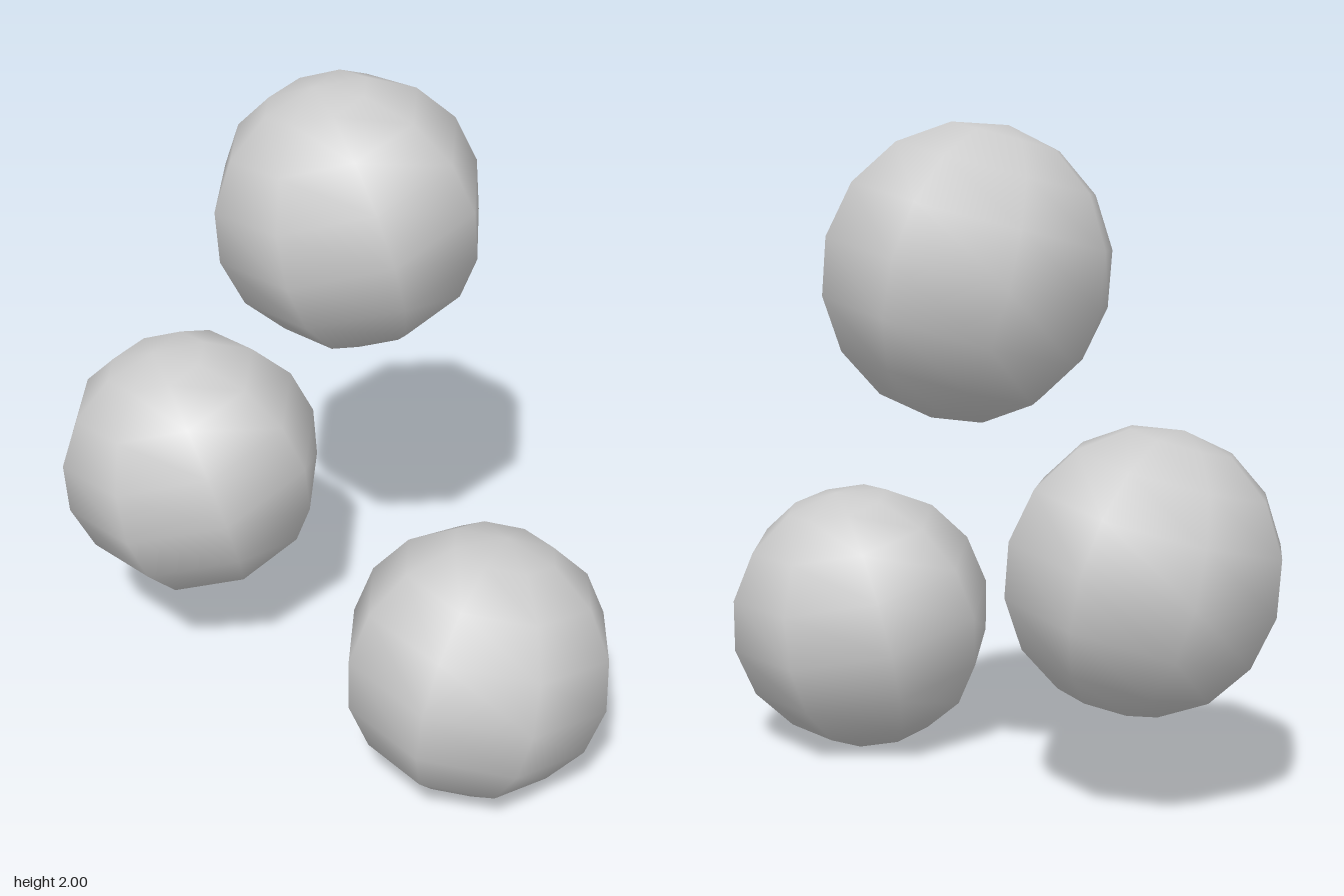
import * as THREE from 'three';

export function createModel() {
  const group = new THREE.Group();
  const material = new THREE.MeshStandardMaterial({ color: 0xcccccc });
  const geometry = new THREE.SphereGeometry(0.42, 8, 8);

  // One faceted ball, turned so its pole and first meridian follow the given directions
  function addBall(name, centre, pole, meridian) {
    const y = new THREE.Vector3(...pole).normalize();
    const x = new THREE.Vector3(...meridian);
    x.addScaledVector(y, -x.dot(y)).normalize();
    const z = new THREE.Vector3().crossVectors(x, y);
    const ball = new THREE.Mesh(geometry, material);
    ball.name = name;
    ball.position.set(...centre);
    ball.quaternion.setFromRotationMatrix(new THREE.Matrix4().makeBasis(x, y, z));
    group.add(ball);
  }

  // Two balls share one tilt, the lower front ball leans the other way
  const pole = [-0.26, 0.964, 0.03];
  const meridian = [0.4, 0.11, -0.09];
  addBall('upperBall', [0.088, 1.588, -0.355], pole, meridian);
  addBall('middleBall', [-0.412, 0.73, -0.355], pole, meridian);
  addBall('lowerBall', [0.41, 0.421, 0.36], [0.08, 0.41, -0.045], [0.405, -0.08, -0.09]);

  return group;
}
